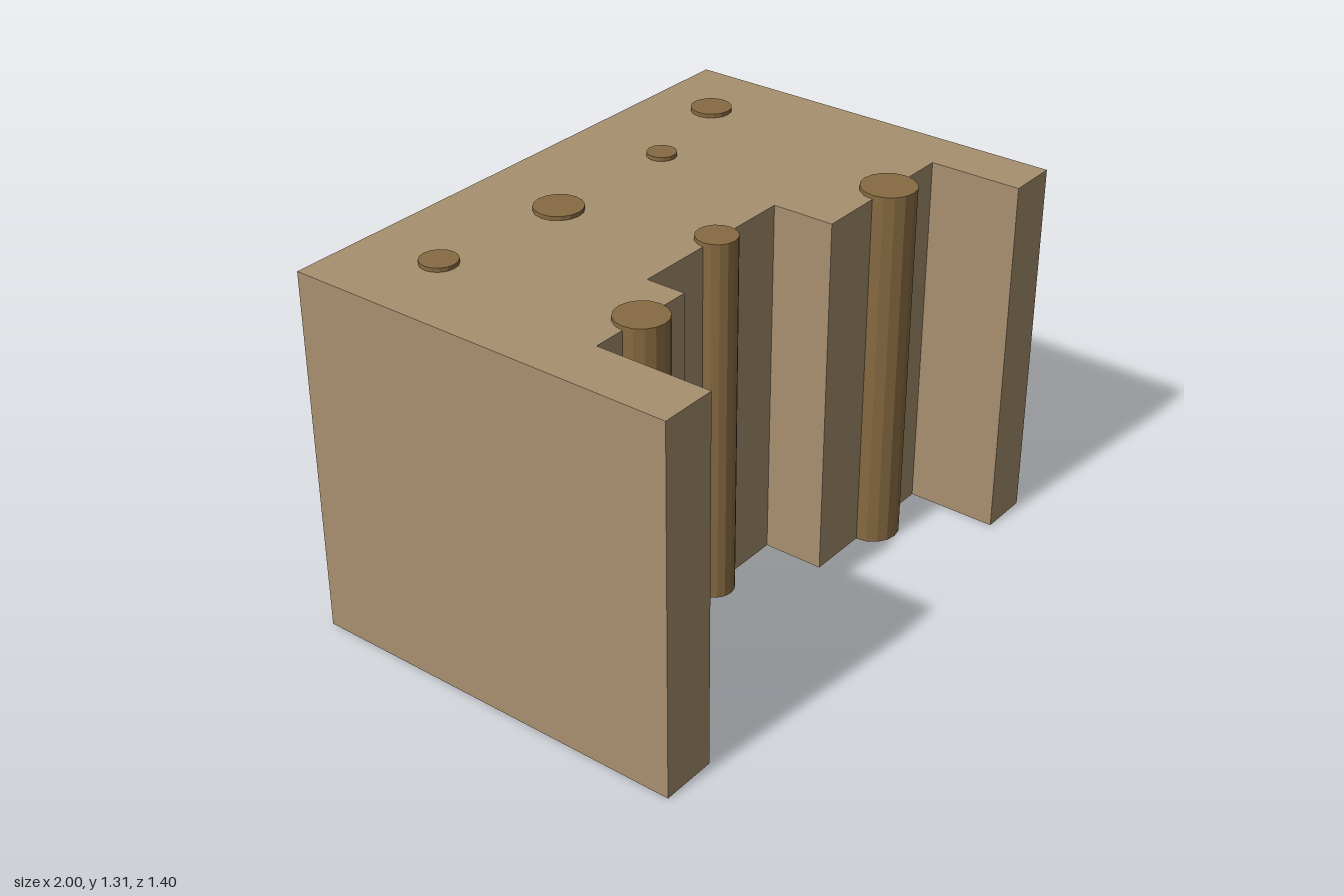
import * as THREE from 'three';

export function createModel() {
  const group = new THREE.Group();
  group.name = 'steppedBlockWithColumns';
  const height = 1.3;
  const blockMaterial = new THREE.MeshStandardMaterial({ color: 0xa89070, flatShading: true });
  const columnMaterial = new THREE.MeshStandardMaterial({ color: 0x886b42, flatShading: true });

  // Block: plan outline (x, z) with a stepped recess in the front
  const plan = [
    [-1, 0.7], [-0.8, 0.7], [-0.8, 0.295], [-0.4, 0.295], [-0.4, 0.155], [0.24, 0.155],
    [0.24, 0.375], [0.82, 0.375], [0.82, 0.7], [1, 0.7], [1, -0.7], [-1, -0.7],
  ];
  const shape = new THREE.Shape(plan.map(([x, z]) => new THREE.Vector2(x, -z)));
  const blockGeometry = new THREE.ExtrudeGeometry(shape, { depth: height - 0.002, bevelEnabled: false });
  blockGeometry.rotateX(-Math.PI / 2);
  const block = new THREE.Mesh(blockGeometry, blockMaterial);
  block.name = 'block';
  block.position.y = 0.002;
  group.add(block);

  // Columns run the full height and stand slightly proud of the top
  const columnHeight = height + 0.014;
  function addColumn(name, x, z, radius) {
    const column = new THREE.Mesh(
      new THREE.CylinderGeometry(radius, radius, columnHeight, 16), columnMaterial);
    column.name = name;
    column.position.set(x, columnHeight / 2, z);
    group.add(column);
  }

  // Half-exposed columns, centred on the recess walls
  [[-0.6, 0.295, 0.087], [-0.06, 0.155, 0.07], [0.56, 0.375, 0.095]]
    .forEach(([x, z, r], i) => addColumn(`frontColumn${i + 1}`, x, z, r));

  // Columns buried in the block
  [[-0.7, -0.405, 0.063], [-0.2, -0.363, 0.083], [0.32, -0.363, 0.051], [0.72, -0.463, 0.071]]
    .forEach(([x, z, r], i) => addColumn(`buriedColumn${i + 1}`, x, z, r));

  return group;
}
